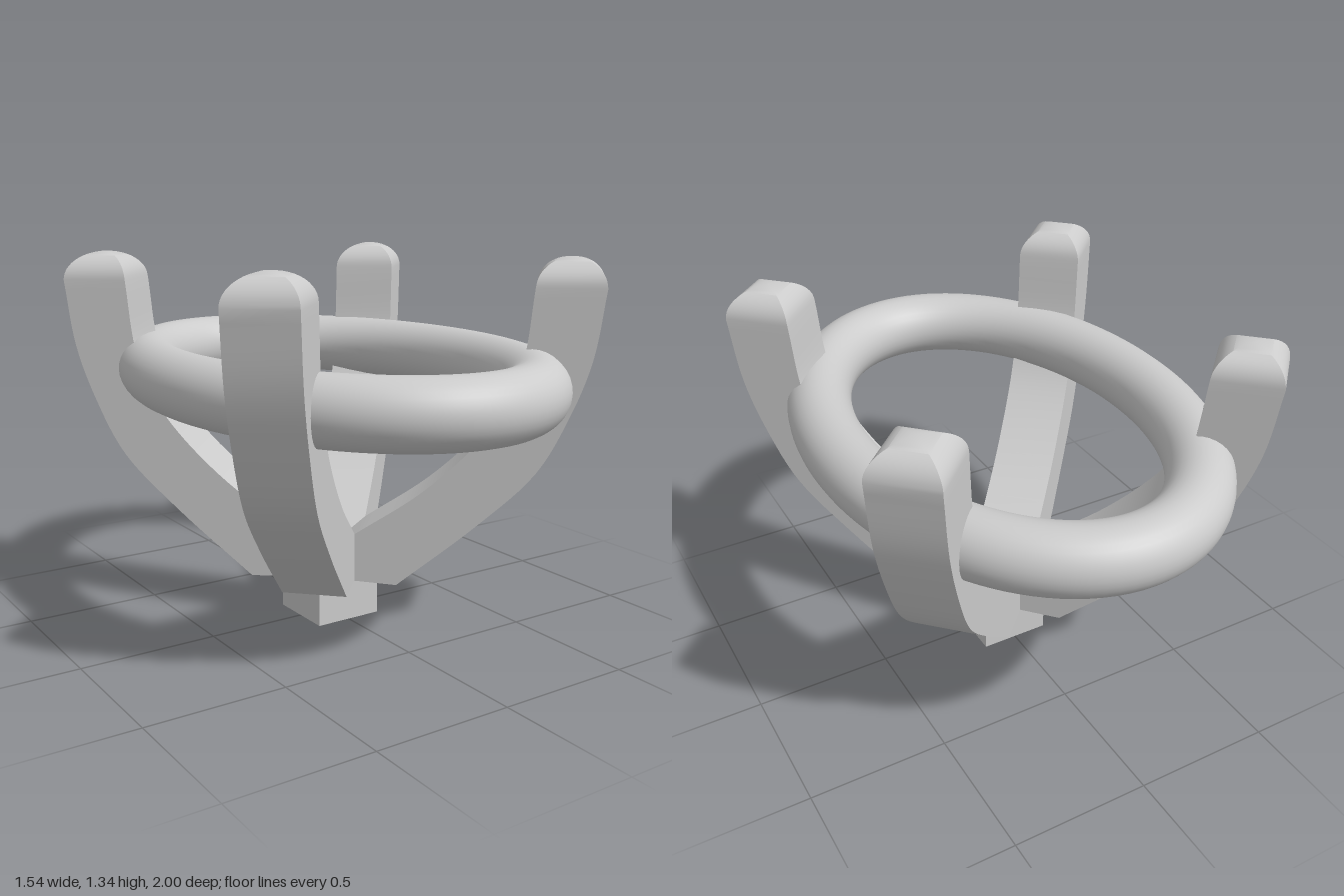
import * as THREE from 'three';
import { toCreasedNormals } from 'three/addons/utils/BufferGeometryUtils.js';

const HALF = 0.1175; // half the width of a prong

// Skin a list of [innerR, innerY, outerR, outerY, halfWidth] rectangular sections
function loftSections(sections) {
  const pos = [];
  const rings = sections.map(([ir, iy, or, oy, w]) => [
    [ir, iy, w], [or, oy, w], [or, oy, -w], [ir, iy, -w],
  ]);
  const quad = (a, b, c, d) => pos.push(...a, ...b, ...c, ...a, ...c, ...d);
  for (let i = 0; i < rings.length - 1; i++) {
    for (let k = 0; k < 4; k++) {
      const n = (k + 1) % 4;
      quad(rings[i][k], rings[i][n], rings[i + 1][n], rings[i + 1][k]);
    }
  }
  const first = rings[0], last = rings[rings.length - 1];
  quad(first[3], first[2], first[1], first[0]);
  quad(last[0], last[1], last[2], last[3]);
  const geo = new THREE.BufferGeometry();
  geo.setAttribute('position', new THREE.Float32BufferAttribute(pos, 3));
  return toCreasedNormals(geo, 0.6);
}

// Curved square prong lying along +x, with a four-sided domed tip
function prongGeometry() {
  const spline = (pts) => new THREE.CatmullRomCurve3(pts.map(([r, y]) => new THREE.Vector3(r, y, 0)));
  const inner = spline([[0.1175, 0.34], [0.36, 0.51], [0.545, 0.69], [0.637, 0.82], [0.7, 0.99], [0.732, 1.245]]);
  const outer = spline([[0.272, 0.155], [0.56, 0.4], [0.757, 0.6], [0.862, 0.8], [0.932, 1.0], [0.969, 1.245]]);
  const sections = [[0, 0.25, 0, 0.165, HALF]];
  const steps = 30;
  for (let i = 0; i <= steps; i++) {
    const a = inner.getPoint(i / steps), b = outer.getPoint(i / steps);
    sections.push([a.x, a.y, b.x, b.y, HALF]);
  }
  // domed tip
  for (let i = 1; i <= 12; i++) {
    const t = (i / 12) * Math.PI / 2 * 0.99;
    const s = HALF * Math.cos(t), y = 1.245 + 0.1 * Math.sin(t);
    sections.push([0.8505 - s, y, 0.8505 + s, y, s]);
  }
  return loftSections(sections);
}

// Ellipse in the horizontal plane
class OvalCurve extends THREE.Curve {
  getPoint(t, target = new THREE.Vector3()) {
    const a = t * Math.PI * 2;
    return target.set(0.588 * Math.cos(a), 0.92, 0.883 * Math.sin(a));
  }
}

export function createModel() {
  const group = new THREE.Group();
  const material = new THREE.MeshStandardMaterial({ color: 0xcccccc });
  const add = (name, geometry) => {
    const mesh = new THREE.Mesh(geometry, material);
    mesh.name = name;
    group.add(mesh);
    return mesh;
  };

  // Square foot
  add('base', new THREE.BoxGeometry(0.26, 0.165, 0.26)).position.y = 0.0825;

  // Oval ring held by the prongs
  add('ovalRing', new THREE.TubeGeometry(new OvalCurve(), 128, 0.117, 32, true));

  // Four prongs on the diagonals
  const prong = prongGeometry();
  ['frontLeftProng', 'backLeftProng', 'backRightProng', 'frontRightProng'].forEach((name, i) => {
    add(name, prong).rotation.y = -Math.PI / 4 + i * Math.PI / 2;
  });
  return group;
}
